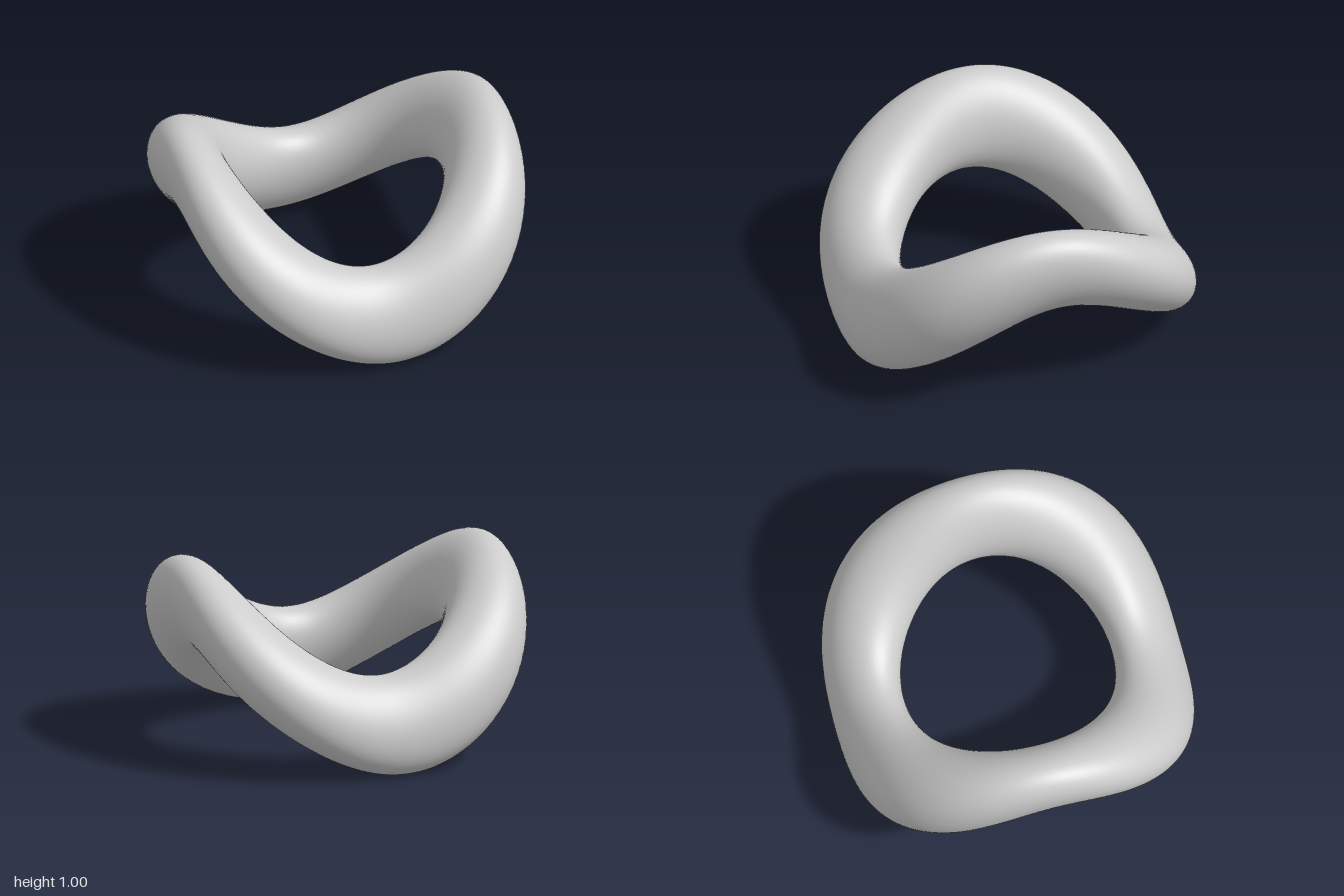
import * as THREE from 'three';

const AROUND = 160; // steps along the ring
const SECTION = 56; // steps around the cross-section

// Point on the ring: t runs around the vertical axis, v around the section.
function ringPoint(t, v) {
  const wave = -Math.sin(2 * t); // two high and two low lobes
  const four = Math.cos(4 * t);
  const centre = 0.747 + 0.024 * four;
  const halfWidth = 0.2 + 0.027 * four; // narrower at the lobes
  const halfHeight = 0.254 + 0.006 * four + 0.03 * Math.cos(2 * t);
  const lean = 0.055 * wave; // lobes lean outward
  const r = centre + halfWidth * Math.cos(v) + lean * Math.sin(v);
  const y = 0.5 + 0.25 * wave + halfHeight * Math.sin(v);
  return [r * Math.cos(t), y, r * Math.sin(t)];
}

// Closed, seamless grid of cross-sections
function ringGeometry() {
  const positions = [];
  const index = [];
  const id = (i, j) => (i % AROUND) * SECTION + (j % SECTION);
  for (let i = 0; i < AROUND; i++) {
    for (let j = 0; j < SECTION; j++) {
      positions.push(...ringPoint((i / AROUND) * Math.PI * 2, (j / SECTION) * Math.PI * 2));
      const a = id(i, j), b = id(i, j + 1), c = id(i + 1, j + 1), d = id(i + 1, j);
      index.push(a, b, c, a, c, d);
    }
  }
  const geometry = new THREE.BufferGeometry();
  geometry.setAttribute('position', new THREE.Float32BufferAttribute(positions, 3));
  geometry.setIndex(index);
  geometry.computeVertexNormals();
  return geometry;
}

export function createModel() {
  const group = new THREE.Group();
  group.name = 'saddleRing';
  const ring = new THREE.Mesh(ringGeometry(), new THREE.MeshStandardMaterial({ color: 0xcccccc }));
  ring.name = 'wavyRing';
  group.add(ring);
  return group;
}
